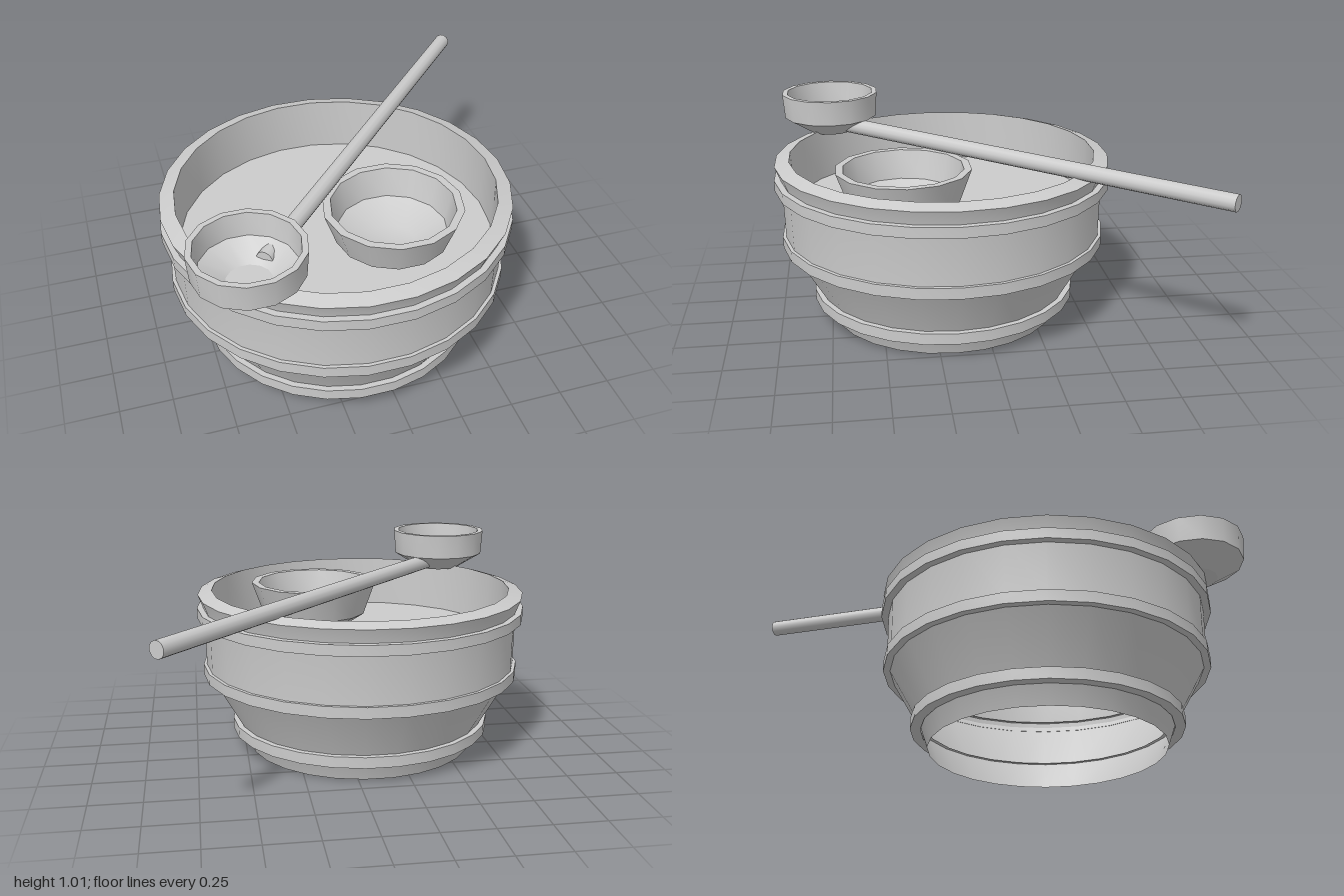
import * as THREE from 'three';
import { toCreasedNormals } from 'three/addons/utils/BufferGeometryUtils.js';

const material = new THREE.MeshStandardMaterial({ color: 0xcccccc, side: THREE.DoubleSide });

// Turned part from [radius, height] pairs, with a corner pointing along x
function turned(name, profile, sides) {
  const points = profile.map(([r, y]) => new THREE.Vector2(r, y));
  const geometry = new THREE.LatheGeometry(points, sides);
  geometry.rotateY(Math.PI / 2);
  const mesh = new THREE.Mesh(toCreasedNormals(geometry, 0.48), material);
  mesh.name = name;
  return mesh;
}

export function createModel() {
  const model = new THREE.Group();
  model.name = 'basinWithLadle';

  // Basin: open-bottomed shell, flared rim and a flat liquid surface inside
  const basin = new THREE.Group();
  basin.name = 'basin';
  basin.position.set(-0.1, 0, 0.175);
  model.add(basin);
  const SIDES = 26;
  basin.add(turned('basinWall', [
    [0.575, 0], [0.615, 0.115], [0.785, 0.415], [0.79, 0.705], [0.795, 0.735],
    [0.82, 0.8], [0.75, 0.82], [0.745, 0.56],
  ], SIDES));
  basin.add(turned('liquidSurface', [[0.785, 0.56], [0, 0.56]], SIDES));

  // Raised bands: inner radius, outer radius, bottom, top
  const bands = [
    [0.61, 0.66, 0.09, 0.145],
    [0.765, 0.802, 0.385, 0.44],
    [0.785, 0.825, 0.68, 0.732],
  ];
  for (const [inner, outer, low, high] of bands) {
    basin.add(turned('band', [[inner, low], [outer, low], [outer, high], [inner, high]], SIDES));
  }

  // Small bowl floating in the liquid
  const bowl = turned('floatingBowl', [
    [0, 0.55], [0.12, 0.55], [0.27, 0.65], [0.327, 0.81],
    [0.29, 0.81], [0.258, 0.67], [0.11, 0.6], [0, 0.6],
  ], 14);
  bowl.position.set(0.11, 0, 0.38);
  model.add(bowl);

  // Ladle: cup and long handle lying across the rim
  const ladle = new THREE.Group();
  ladle.name = 'ladle';
  model.add(ladle);
  const cup = turned('ladleCup', [
    [0, 0.802], [0.11, 0.802], [0.243, 0.885], [0.252, 1.01],
    [0.225, 1.01], [0.212, 0.9], [0.1, 0.83], [0, 0.83],
  ], 14);
  cup.position.set(-0.637, 0, 0.72);
  ladle.add(cup);

  const start = new THREE.Vector3(-0.55, 0.847, 0.63);
  const end = new THREE.Vector3(0.885, 0.842, -0.97);
  const handle = new THREE.Mesh(
    new THREE.CylinderGeometry(0.039, 0.039, start.distanceTo(end), 12), material);
  handle.name = 'ladleHandle';
  handle.position.copy(start).lerp(end, 0.5);
  handle.quaternion.setFromUnitVectors(
    new THREE.Vector3(0, 1, 0), end.clone().sub(start).normalize());
  ladle.add(handle);

  return model;
}
